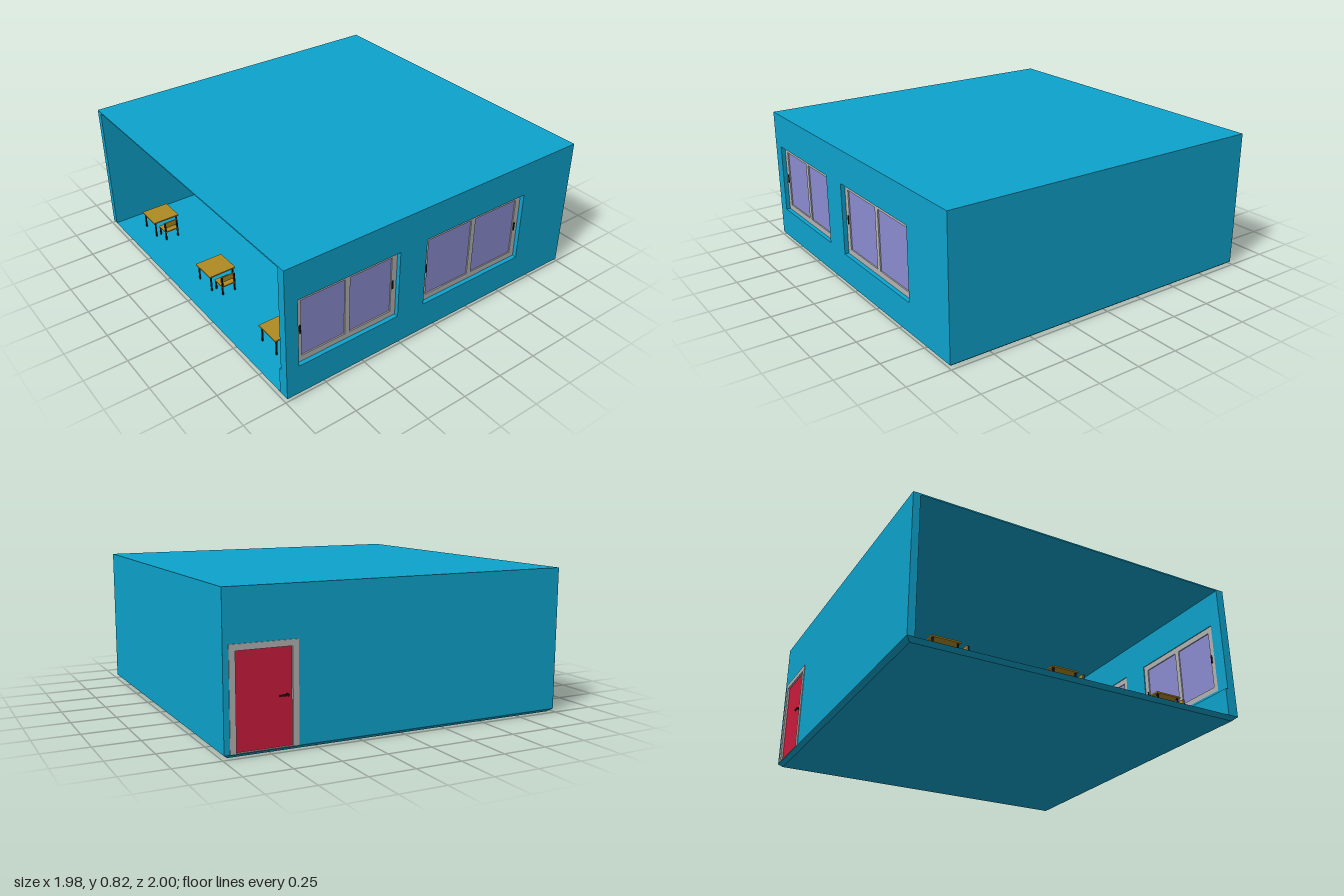
import * as THREE from 'three';

const mat = (color) => new THREE.MeshStandardMaterial({ color, flatShading: true });
const BLUE = mat(0x0da3cd), FRAME = mat(0xb4b4b4), GLASS = mat(0x8c8cd2);
const RED = mat(0xcc1b3c), WOOD = mat(0xb08a22), DARK = mat(0x1c1c1c);

// Box given by its low and high corners
function box(parent, name, material, [x0, y0, z0], [x1, y1, z1]) {
  const mesh = new THREE.Mesh(new THREE.BoxGeometry(x1 - x0, y1 - y0, z1 - z0), material);
  mesh.position.set((x0 + x1) / 2, (y0 + y1) / 2, (z0 + z1) / 2);
  mesh.name = name;
  parent.add(mesh);
  return mesh;
}

// Upright panel in the xy plane with rectangular holes [x0, y0, x1, y1]
function panel(parent, name, material, rect, holes, z, depth) {
  const trace = (path, [x0, y0, x1, y1]) =>
    path.moveTo(x0, y0).lineTo(x1, y0).lineTo(x1, y1).lineTo(x0, y1).closePath();
  const shape = new THREE.Shape();
  trace(shape, rect);
  for (const hole of holes) {
    const path = new THREE.Path();
    trace(path, hole);
    shape.holes.push(path);
  }
  const mesh = new THREE.Mesh(
    new THREE.ExtrudeGeometry(shape, { depth, bevelEnabled: false }), material);
  mesh.position.z = z;
  mesh.name = name;
  parent.add(mesh);
  return mesh;
}

// Sliding window: frame, two panes and a pull on each outer stile
function slidingWindow([x0, y0, x1, y1]) {
  const g = new THREE.Group();
  g.name = 'slidingWindow';
  const b = 0.034, mid = (x0 + x1) / 2;
  const panes = [
    [x0 + b, y0 + b, mid - 0.015, y1 - b],
    [mid + 0.015, y0 + b, x1 - b, y1 - b],
  ];
  panel(g, 'windowFrame', FRAME, [x0, y0, x1, y1], panes, 0.955, 0.02);
  for (const [a, c, d, e] of panes)
    box(g, 'windowPane', GLASS, [a, c, 0.962], [d, e, 0.968]);
  const y = (y0 + y1) / 2;
  for (const x of [x0 + 0.026, x1 - 0.026])
    box(g, 'windowPull', DARK, [x - 0.004, y - 0.025, 0.95], [x + 0.004, y + 0.025, 0.98]);
  return g;
}

// Door with its frame and a lever on both faces
function makeDoor([x0, y0, x1, y1]) {
  const g = new THREE.Group();
  g.name = 'door';
  const b = 0.032;
  panel(g, 'doorFrame', FRAME, [x0, y0, x1, y1], [[x0 + b, y0 + 0.004, x1 - b, y1 - b]], -0.994, 0.05);
  box(g, 'doorLeaf', RED, [x0 + b, y0 + 0.004, -0.982], [x1 - b, y1 - b, -0.956]);
  for (const [near, far] of [[-1, -0.982], [-0.956, -0.938]]) {
    const spindle = new THREE.Mesh(new THREE.CylinderGeometry(0.007, 0.007, 0.018, 10), DARK);
    spindle.rotation.x = Math.PI / 2;
    spindle.position.set(x0 + 0.06, 0.28, (near + far) / 2);
    spindle.name = 'doorSpindle';
    g.add(spindle);
    const z = near === -1 ? near : far - 0.006;
    box(g, 'doorLever', DARK, [x0 + 0.055, 0.276, z], [x0 + 0.105, 0.284, z + 0.006]);
  }
  return g;
}

// Four thin legs under a rectangle
function legs(parent, name, x, z0, z1, height) {
  for (const px of [-x, x])
    for (const pz of [z0, z1])
      box(parent, name, DARK, [px - 0.004, 0, pz - 0.004], [px + 0.004, height, pz + 0.004]);
}

// Desk with a chair behind it
function deskAndChair() {
  const g = new THREE.Group();
  g.name = 'deskAndChair';
  box(g, 'deskTop', WOOD, [-0.085, 0.1, -0.09], [0.085, 0.108, 0.07]);
  legs(g, 'deskLeg', 0.072, -0.078, 0.058, 0.1);
  box(g, 'chairSeat', WOOD, [-0.045, 0.055, 0.05], [0.045, 0.062, 0.135]);
  legs(g, 'chairLeg', 0.04, 0.056, 0.129, 0.055);
  for (const x of [-0.04, 0.04])
    box(g, 'chairBackPost', DARK, [x - 0.004, 0.06, 0.127], [x + 0.004, 0.12, 0.135]);
  box(g, 'chairBack', WOOD, [-0.045, 0.085, 0.121], [0.045, 0.12, 0.128]);
  return g;
}

export function createModel() {
  const room = new THREE.Group();
  room.name = 'classroom';
  const X = 0.99, B = 0.99, base = 0.02, top = 0.82;

  // Floor slab, tapered towards its underside
  const slab = box(room, 'floor', BLUE, [-X, 0, -B], [X, base, 1]);
  const p = slab.geometry.attributes.position;
  for (let i = 0; i < p.count; i++)
    if (p.getY(i) < 0) p.setXYZ(i, p.getX(i) * 0.975, p.getY(i), p.getZ(i) * 0.975);
  slab.geometry.computeVertexNormals();

  // Shell: the -x side stays open
  const windows = [[-0.915, 0.2, -0.28, 0.615], [-0.1, 0.195, 0.615, 0.62]];
  const doorway = [0.6, base, 0.96, 0.55];
  panel(room, 'frontWall', BLUE, [-X, base, X, top], windows, 0.95, 0.05);
  panel(room, 'backWall', BLUE, [-X, base, X, top], [doorway], -B, 0.04);
  box(room, 'sideWall', BLUE, [X - 0.04, base, -B + 0.04], [X, top, 0.95]);
  box(room, 'roof', BLUE, [-X, top - 0.008, -B], [X, top, 1]);
  box(room, 'wallLedge', BLUE, [-X, base, 0.935], [X - 0.04, 0.18, 0.95]);

  for (const w of windows) room.add(slidingWindow(w));
  room.add(makeDoor(doorway));

  // Three rows of desks
  for (const x of [-0.78, -0.14, 0.5])
    for (const z of [-0.72, -0.035, 0.64]) {
      const desk = deskAndChair();
      desk.position.set(x, base, z);
      room.add(desk);
    }
  return room;
}
